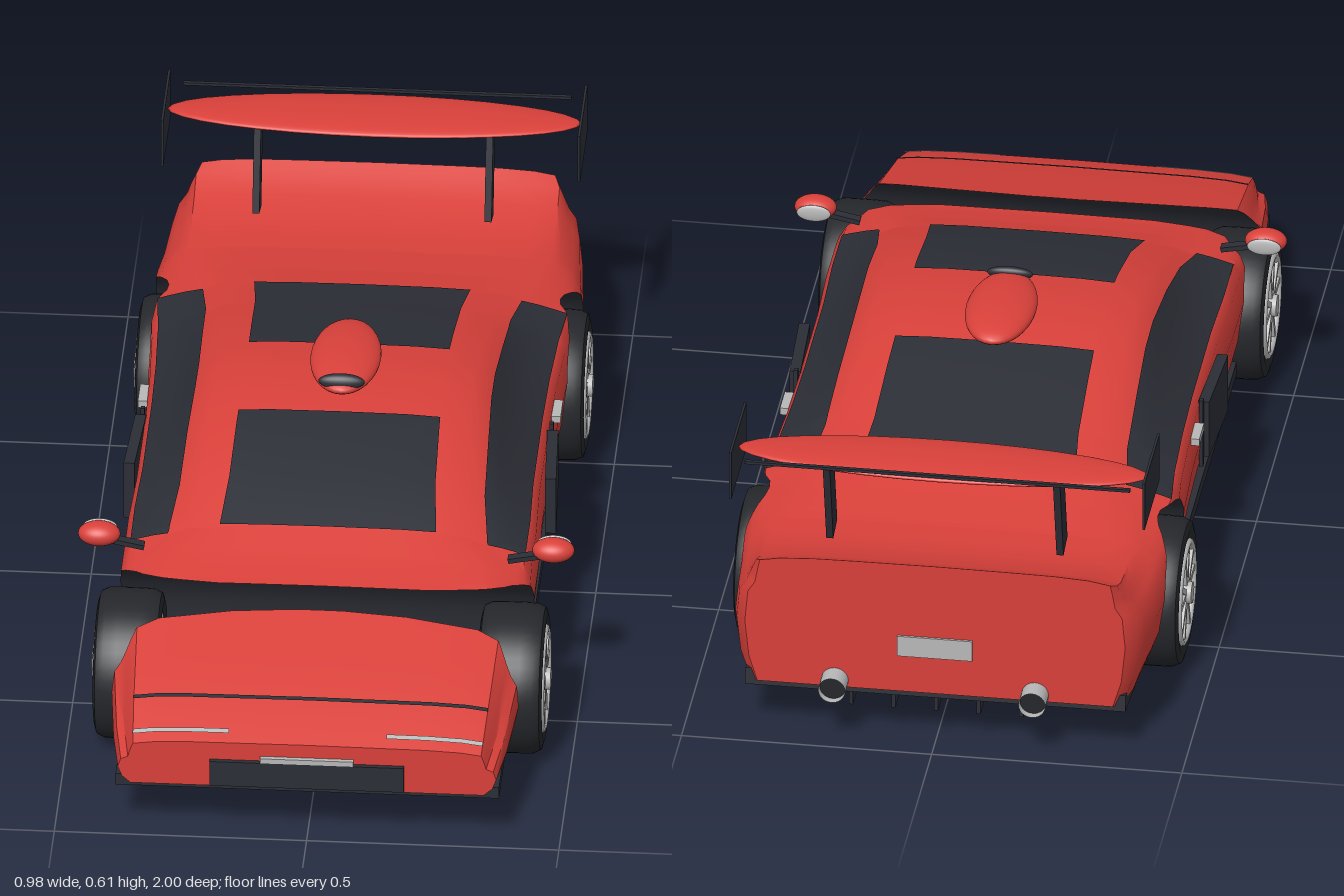
import * as THREE from 'three';
import { toCreasedNormals } from 'three/addons/utils/BufferGeometryUtils.js';

const paint = (name, color, side = THREE.FrontSide) => {
  const m = new THREE.MeshStandardMaterial({ color, side });
  m.name = name;
  return m;
};
const red = paint('red paint', 0xd9403a);
const dark = paint('dark trim', 0x2c2e36);
const rubber = paint('black rubber', 0x25272b);
const silver = paint('silver', 0xb8b8b8, THREE.DoubleSide);

// Body stations: z, half width, top height, shoulder height, roof half width, roof edge drop
const STATIONS = [
  [-.955, .38, .405, .34, .35, .014], [-.93, .40, .392, .33, .36, .014],
  [-.88, .41, .368, .31, .36, .012], [-.78, .418, .35, .30, .36, .012],
  [-.7, .425, .352, .31, .36, .012], [-.6, .43, .366, .32, .34, .016],
  [-.51, .425, .384, .335, .315, .024], [-.4, .415, .408, .335, .30, .028],
  [-.25, .408, .442, .335, .295, .03], [-.1, .405, .466, .335, .29, .03],
  [0, .405, .47, .335, .29, .03], [.15, .405, .455, .335, .295, .03],
  [.3, .41, .42, .335, .30, .03], [.42, .41, .378, .333, .315, .026],
  [.5, .412, .352, .315, .345, .014], [.56, .415, .338, .29, .36, .012],
  [.65, .415, .325, .275, .36, .012], [.9, .39, .252, .2, .35, .01],
  [.99, .375, .215, .175, .345, .01],
];
const FRONT_Z = .59, REAR_Z = -.55, ARCH_R = .18, ARCH_Y = .155, FLOOR = .115;
const lerp = THREE.MathUtils.lerp;

function station(z) {
  let i = 0;
  while (i < STATIONS.length - 2 && z > STATIONS[i + 1][0]) i++;
  const a = STATIONS[i], b = STATIONS[i + 1], t = (z - a[0]) / (b[0] - a[0]);
  return a.map((v, k) => lerp(v, b[k], t));
}

// Underside height, rising over the full-width wheel arches
function underside(z) {
  for (const c of [FRONT_Z, REAR_Z]) {
    const d = Math.abs(z - c);
    if (d < ARCH_R) return ARCH_Y + Math.sqrt(ARCH_R * ARCH_R - d * d);
  }
  return FLOOR;
}

// Half section from sill to roof centre, clipped by the underside
function halfSection(z) {
  const [, w, h, s, r, drop] = station(z);
  const q = s - FLOOR, e = h - drop, f = Math.min(1, (h - s) / .12);
  const pts = [
    [w - .025, FLOOR], [w - .008, FLOOR + .25 * q], [w, FLOOR + .6 * q],
    [w - .006, s - .1 * q], [w - .02, s],
    [lerp(w - .02, r, lerp(.2, .45, f)), lerp(s, e, .35)],
    [lerp(w - .02, r, lerp(.55, .75, f)), lerp(s, e, .7)],
    [r, e], [.88 * r, h - .45 * drop], [.68 * r, h - .15 * drop], [.45 * r, h - .001], [0, h],
  ];
  const b = Math.min(underside(z), h);
  const k = pts.findIndex(p => p[1] >= b);
  if (k < 1) return pts;
  const lo = pts[k - 1], hi = pts[k];
  const cut = [lerp(lo[0], hi[0], (b - lo[1]) / (hi[1] - lo[1])), b];
  return pts.map((p, i) => (i < k ? cut : p));
}
function fullRow(z) {
  const half = halfSection(z);
  return [...half, ...half.slice(0, -1).reverse().map(([x, y]) => [-x, y])].map(([x, y]) => [x, y, z]);
}

// Surface through rows of points
function skin(rows) {
  const n = rows[0].length, index = [];
  for (let i = 0; i < rows.length - 1; i++) {
    for (let j = 0; j < n - 1; j++) {
      const a = i * n + j, c = a + n;
      index.push(a, a + 1, c, a + 1, c + 1, c);
    }
  }
  const g = new THREE.BufferGeometry();
  g.setAttribute('position', new THREE.Float32BufferAttribute(rows.flat(2), 3));
  g.setIndex(index);
  g.computeVertexNormals();
  return g;
}

function zList(z0, z1) {
  const zs = [z0, z1, ...STATIONS.map(s => s[0])];
  for (const c of [FRONT_Z, REAR_Z]) {
    zs.push(c - ARCH_R * 1.0005, c + ARCH_R * 1.0005);
    for (let i = 0; i <= 24; i++) zs.push(c + ARCH_R * .9995 * Math.cos(i * Math.PI / 24));
  }
  return [...new Set(zs)].filter(z => z >= z0 && z <= z1).sort((a, b) => a - b);
}

export function createModel() {
  const car = new THREE.Group();
  car.name = 'racing car';
  const add = (name, geo, mat, pos = [0, 0, 0], rot = [0, 0, 0], parent = car) => {
    const m = new THREE.Mesh(geo, mat);
    m.name = name;
    m.position.set(...pos);
    m.rotation.set(...rot);
    parent.add(m);
    return m;
  };
  const box = (name, size, mat, pos, rot, parent) => add(name, new THREE.BoxGeometry(...size), mat, pos, rot, parent);
  const egg = (name, radii, mat, pos, rot) => add(name, new THREE.SphereGeometry(1, 32, 20), mat, pos, rot).scale.set(...radii);

  // Body shells with dark undersides and arch linings
  for (const [name, z0, z1] of [['cabin body', -.955, .575], ['nose', .65, .99]]) {
    const zs = zList(z0, z1);
    add(name, toCreasedNormals(skin(zs.map(fullRow)), .6), red);
    const floor = zs.map(z => {
      const [x, y] = halfSection(z)[0];
      return [[-x, y, z], [x, y, z]];
    });
    add(name + ' underside', toCreasedNormals(skin(floor), .6), dark);
  }
  for (const [name, z, s] of [['nose front', .99, 1], ['tail panel', -.955, -1]]) {
    add(name, skin(halfSection(z).map(([x, y]) => [[-s * x, y, z], [s * x, y, z]])), red);
  }

  // Windows and painted details lying just above the body surface
  const overlay = (name, mat, from, to, z0, z1) => {
    const g = skin(zList(z0, z1).map(z => fullRow(z).slice(from, to + 1)));
    const p = g.attributes.position, n = g.attributes.normal;
    for (let i = 0; i < p.count; i++) {
      p.setXYZ(i, p.getX(i) + .004 * n.getX(i), p.getY(i) + .004 * n.getY(i), p.getZ(i) + .004 * n.getZ(i));
    }
    add(name, g, mat);
  };
  overlay('windshield', dark, 9, 13, .11, .42);
  overlay('rear window', dark, 9, 13, -.51, -.155);
  overlay('left side window', dark, 4, 7, -.51, .425);
  overlay('right side window', dark, 15, 18, -.51, .425);
  overlay('hood seam', dark, 7, 15, .88, .889);
  overlay('left headlight strip', silver, 7, 10, .96, .97);
  overlay('right headlight strip', silver, 12, 15, .96, .97);

  // Roof scoop
  egg('roof scoop', [.07, .028, .14], red, [0, .485, -.065]);
  egg('scoop opening', [.046, .016, .012], dark, [0, .497, .052], [-.4, 0, 0]);

  // Bumper, plates, splitter, sills and diffuser
  box('front grille', [.385, .055, .016], dark, [0, .148, .992]);
  box('front plate', [.185, .014, .012], silver, [0, .179, .994]);
  box('nose lip', [.76, .025, .2], dark, [0, .117, .882]);
  box('splitter', [.7, .01, .09], dark, [0, .092, .875]);
  box('sills', [.8, .028, .765], dark, [0, .111, .023]);
  box('rear plate', [.15, .045, .006], silver, [0, .22, -.957]);
  box('diffuser', [.76, .035, .13], dark, [0, .113, -.885], [.12, 0, 0]);
  for (let i = -2; i <= 2; i++) box('diffuser fin', [.008, .035, .12], dark, [i * .085, .085, -.88]);

  // Rear wing
  egg('wing blade', [.41, .014, .08], red, [0, .58, -.84]);
  box('wing flap', [.77, .006, .008], dark, [0, .592, -.92]);

  for (const s of [1, -1]) {
    box('wing end plate', [.005, .105, .2], dark, [s * .413, .563, -.83]);
    box('wing support', [.014, .2, .055], dark, [s * .23, .478, -.82], [-.25, 0, 0]);
    // Exhausts
    add('exhaust', new THREE.CylinderGeometry(.027, .027, .075, 24, 1, true), silver, [s * .2, .13, -.9625], [Math.PI / 2, 0, 0]);
    add('exhaust bore', new THREE.CircleGeometry(.026, 24), rubber, [s * .2, .13, -.985], [0, Math.PI, 0]);
    // Mirrors
    egg('mirror', [.042, .024, .03], red, [s * .45, .373, .465]);
    egg('mirror glass', [.034, .018, .006], silver, [s * .45, .373, .438]);
    box('mirror arm', [.07, .01, .02], dark, [s * .395, .355, .465], [0, 0, s * .2]);
    // Door details
    box('side intake', [.022, .125, .19], dark, [s * .413, .257, .005], [0, s * .05, 0]);
    box('door seam', [.008, .15, .01], dark, [s * .405, .255, -.1]);
    box('door handle', [.02, .015, .065], silver, [s * .409, .303, -.19]);
  }

  // Wheels
  const tyreProfile = [[.105, -.06], [.125, -.065], [.142, -.06], [.149, -.045], [.15, -.02],
    [.15, .02], [.149, .045], [.142, .06], [.125, .065], [.105, .06]].map(p => new THREE.Vector2(...p));
  const tyre = toCreasedNormals(new THREE.LatheGeometry(tyreProfile, 48), .7);
  const across = [0, 0, -Math.PI / 2];
  for (const s of [1, -1]) {
    for (const [name, z, caliperZ] of [['front wheel', FRONT_Z, -.043], ['rear wheel', REAR_Z, .043]]) {
      const wheel = new THREE.Group();
      wheel.name = name;
      wheel.position.set(s * .38, .152, z);
      wheel.rotation.y = s > 0 ? 0 : Math.PI;
      car.add(wheel);
      add('tyre', tyre, rubber, [0, 0, 0], across, wheel);
      add('rim barrel', new THREE.CylinderGeometry(.105, .105, .12, 48, 1, true), silver, [0, 0, 0], across, wheel);
      add('rim ring', new THREE.TorusGeometry(.1, .008, 8, 48), silver, [.06, 0, 0], [0, Math.PI / 2, 0], wheel);
      add('brake disc', new THREE.CylinderGeometry(.08, .08, .01, 32), silver, [0, 0, 0], across, wheel);
      box('brake caliper', [.03, .045, .035], red, [.015, .05, s * caliperZ], [0, 0, 0], wheel);
      add('hub', new THREE.CylinderGeometry(.022, .026, .075, 20), silver, [.037, 0, 0], across, wheel);
      // Paired spokes making a five-pointed pattern
      for (let i = 0; i < 5; i++) {
        for (const lean of [-1, 1]) {
          const spoke = new THREE.Group();
          spoke.name = 'spoke';
          spoke.rotation.x = i * Math.PI * .4;
          wheel.add(spoke);
          box('spoke bar', [.014, .088, .012], silver, [.058, .056, lean * .014], [lean * .28, 0, 0], spoke);
        }
      }
    }
  }
  return car;
}
